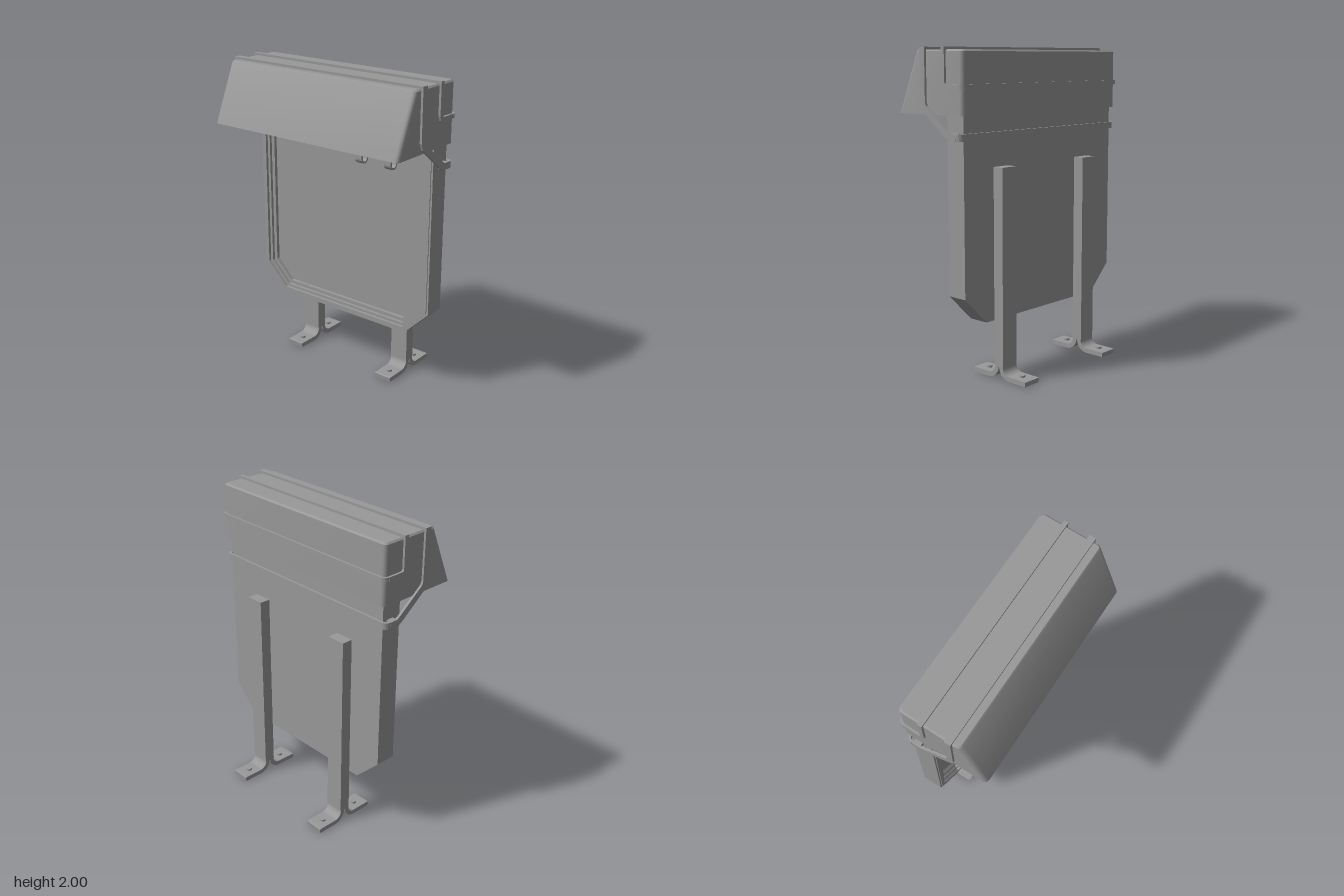
import * as THREE from 'three';
import { toCreasedNormals } from 'three/addons/utils/BufferGeometryUtils.js';

const grey = new THREE.MeshStandardMaterial({ color: 0x999999 });
grey.name = 'grey';

function add(parent, name, geometry) {
  const mesh = new THREE.Mesh(geometry, grey);
  mesh.name = name;
  parent.add(mesh);
  return mesh;
}

// box given by its limits
function box(x0, x1, y0, y1, z0, z1) {
  return new THREE.BoxGeometry(x1 - x0, y1 - y0, z1 - z0)
    .translate((x0 + x1) / 2, (y0 + y1) / 2, (z0 + z1) / 2);
}

const toShape = pts => new THREE.Shape(pts.map(p => new THREE.Vector2(p[0], p[1])));

// extrude a (z, y) side profile across x, centred on x = cx
function sideways(shape, width, cx) {
  return new THREE.ExtrudeGeometry(shape, { depth: width, bevelEnabled: false })
    .rotateY(-Math.PI / 2).translate(cx + width / 2, 0, 0);
}

// outline of constant thickness along an open path, with mitred corners
function strip(path, thickness) {
  const p = path.map(a => new THREE.Vector2(a[0], a[1]));
  const left = [], right = [];
  p.forEach((q, i) => {
    const a = q.clone().sub(p[Math.max(i - 1, 0)]).normalize();
    const b = p[Math.min(i + 1, p.length - 1)].clone().sub(q).normalize();
    const t = a.clone().add(b).normalize();
    const d = i > 0 && i < p.length - 1 ? b : t;
    const n = new THREE.Vector2(-t.y, t.x).multiplyScalar(thickness / 2 / t.dot(d));
    left.push(q.clone().add(n));
    right.unshift(q.clone().sub(n));
  });
  return new THREE.Shape([...left, ...right]);
}

function arc(cx, cy, r, from, to, steps = 8) {
  return Array.from({ length: steps + 1 }, (_, i) => {
    const a = from + (to - from) * i / steps;
    return [cx + r * Math.cos(a), cy + r * Math.sin(a)];
  });
}

// board outline with two cut lower corners, moved inward by d
function outline(d) {
  const k = 0.414 * d, w = 0.68 - d, c = 0.505 - k, lo = 0.364 + d, hi = 0.537 + k, top = 1.95 - d;
  return [[-c, lo], [c, lo], [w, hi], [w, top], [-w, top], [-w, hi]];
}

function board() {
  const g = new THREE.Group();
  g.name = 'board';
  const floor = -0.058;
  add(g, 'backPanel', new THREE.ExtrudeGeometry(toShape(outline(0)), { depth: floor + 0.14, bevelEnabled: false })
    .translate(0, 0, -0.14));
  // stepped frame around the sunken face
  [[0, 0.012, -0.006], [0.012, 0.037, 0], [0.037, 0.056, -0.018], [0.056, 0.08, -0.036]].forEach(([a, b, z]) => {
    const ring = toShape(outline(a));
    ring.holes.push(toShape(outline(b)));
    add(g, 'frameStep', new THREE.ExtrudeGeometry(ring, { depth: z - floor, bevelEnabled: false })
      .translate(0, 0, floor));
  });
  return g;
}

function hook(x) {
  const g = new THREE.Group();
  g.name = 'hook';
  add(g, 'hookPlate', box(x - 0.028, x + 0.028, 1.53, 1.57, -0.058, -0.018));
  const path = [[-0.032, 1.55], ...arc(-0.004, 1.454, 0.028, Math.PI, 2 * Math.PI), [0.024, 1.51]];
  add(g, 'hookCurve', sideways(strip(path, 0.012), 0.05, x));
  return g;
}

// horizontal section of the hood: a rectangle with rounded corners
function section(y, back, front, half, r) {
  const q = Math.PI / 2;
  return [[1, front, 0], [-1, front, 1], [-1, back, 2], [1, back, 3]].flatMap(([s, z, i]) =>
    arc(s * (half - r), z + (i < 2 ? -r : r), r, i * q, (i + 1) * q, 5)).map(([x, z]) => [x, y, z]);
}

// hollow hood, open below: from the inner ceiling, down, round the rim and up to the roof
function hood() {
  const loops = [
    section(1.972, 0, 0, 0, 0),
    section(1.972, -0.153, 0.223, 0.694, 0.016),
    section(1.61, -0.153, 0.377, 0.694, 0.016),
    section(1.61, -0.165, 0.39, 0.706, 0.028),
    section(1.975, -0.165, 0.234, 0.706, 0.028),
    section(1.985, -0.155, 0.224, 0.696, 0.02),
    section(1.985, 0, 0, 0, 0),
  ];
  const n = loops[0].length, index = [];
  for (let j = 0; j < loops.length - 1; j++) {
    for (let i = 0; i < n; i++) {
      const a = j * n + i, b = j * n + (i + 1) % n;
      index.push(a, a + n, b, b, a + n, b + n);
    }
  }
  const geometry = new THREE.BufferGeometry();
  geometry.setAttribute('position', new THREE.Float32BufferAttribute(loops.flat(2), 3));
  geometry.setIndex(index);
  return toCreasedNormals(geometry, 0.5);
}

// strap over the hood, down both ends and round the back
function strap(name, path, width, backZ) {
  const g = new THREE.Group();
  g.name = name;
  const half = width / 2, r = 0.03, x = 0.712, [topZ] = path[0], backY = path[path.length - 1][1];
  const ends = [...path, [backZ + r, backY]];
  for (const s of [-1, 1]) add(g, 'strapSide', sideways(strip(ends, width), 0.016, s * x));
  add(g, 'strapTop', box(-0.72, 0.72, 1.983, 2, topZ - half, topZ + half));
  const round = [
    ...arc(-x + r, -backZ - r, r, Math.PI, Math.PI / 2),
    ...arc(x - r, -backZ - r, r, Math.PI / 2, 0),
  ];
  add(g, 'strapBack', new THREE.ExtrudeGeometry(strip(round, 0.016), { depth: width, bevelEnabled: false })
    .rotateX(-Math.PI / 2).translate(0, backY - half, 0));
  return g;
}

function leg(x) {
  const g = new THREE.Group();
  g.name = 'leg';
  add(g, 'post', box(-0.061, 0.061, 0.08, 1.3, -0.036, 0.036));
  // two curved feet with a bolt in each
  for (const s of [-1, 1]) {
    const path = [[0.0175, 0.1], ...arc(0.0825, 0.08, 0.065, Math.PI, 1.5 * Math.PI), [0.2, 0.015], [0.215, 0.013]];
    const foot = add(g, 'foot', sideways(strip(path, 0.03), 0.122, 0));
    if (s < 0) foot.rotation.y = Math.PI;
    add(g, 'bolt', new THREE.CylinderGeometry(0.019, 0.019, 0.02, 20).translate(0, 0.033, s * 0.138));
  }
  g.position.set(x, 0, -0.175);
  return g;
}

export function createModel() {
  const model = new THREE.Group();
  model.name = 'hoodedBoard';
  model.add(board(), hook(0.16), hook(0.378));
  add(model, 'hood', hood());
  model.add(
    strap('rearStrap', [[-0.014, 2], [-0.014, 1.8], [-0.02, 1.782], [-0.038, 1.776]], 0.028, -0.17),
    strap('frontStrap', [[0.16, 2], [0.16, 1.68], [0.148, 1.647], [-0.03, 1.507], [-0.06, 1.488]], 0.042, -0.147),
  );
  // short bridges between the strap ends and the board edges
  for (const s of [-1, 1]) add(model, 'strapBracket', box(s * 0.695 - 0.02, s * 0.695 + 0.02, 1.468, 1.508, -0.11, -0.06));
  for (const s of [-1, 1]) model.add(leg(s * 0.376));
  return model;
}
